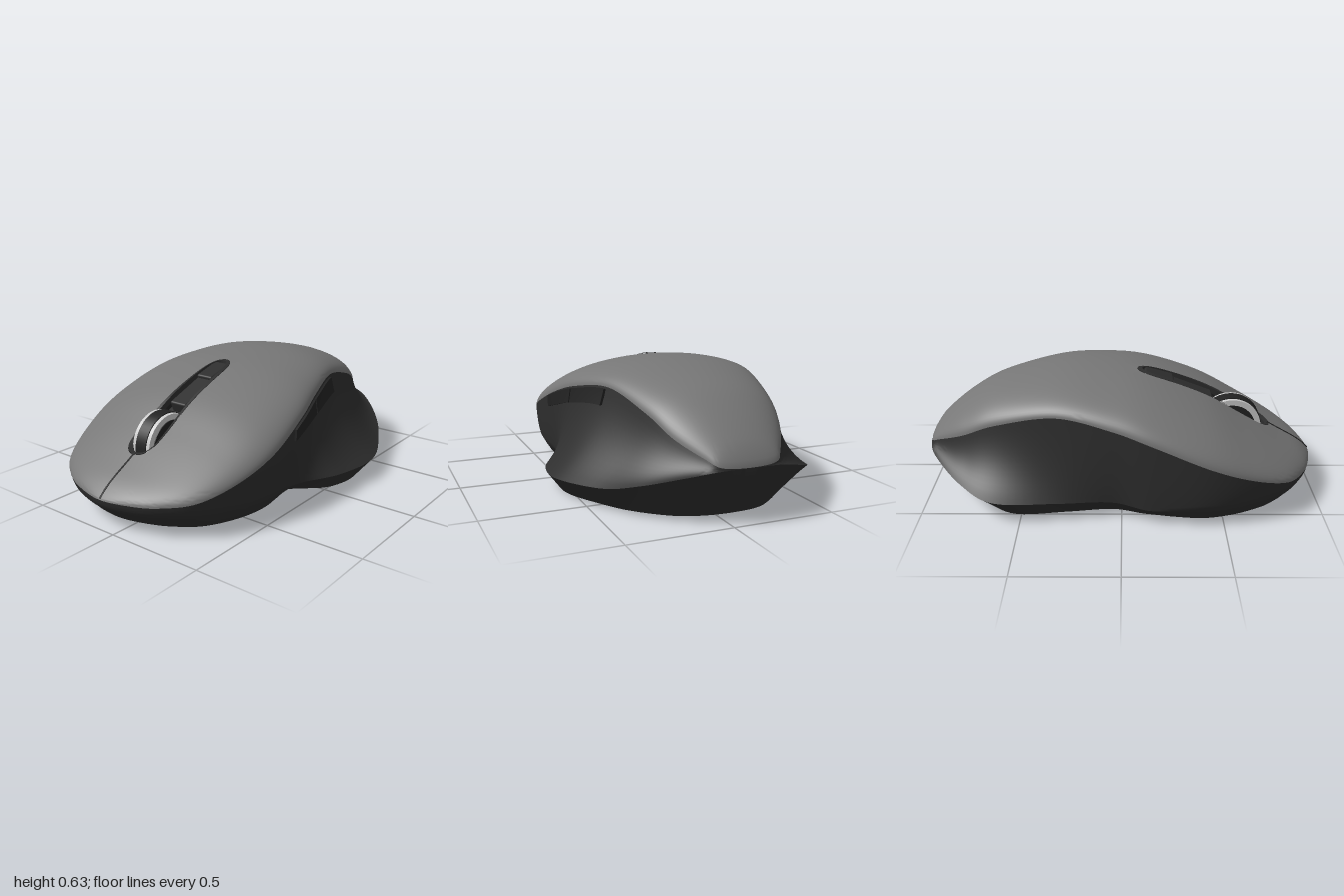
import * as THREE from 'three';
import { mergeVertices, toCreasedNormals } from 'three/addons/utils/BufferGeometryUtils.js';
import { RoundedBoxGeometry } from 'three/addons/geometries/RoundedBoxGeometry.js';

const CX = -0.075; // centre line of the mouse
const V = (x, y, z) => new THREE.Vector3(x, y, z);
const mix = THREE.MathUtils.lerp;

// Stations front to rear: z, shell half width, shell edge y, crown y, rim left, rim right, rim y
const stations = [
  [1, 0, .152, .155, 0, 0, .09],
  [.97, .16, .155, .185, .155, .155, .09],
  [.915, .29, .162, .225, .28, .28, .095],
  [.81, .425, .185, .285, .41, .41, .1],
  [.63, .515, .245, .39, .5, .5, .11],
  [.42, .555, .325, .505, .54, .535, .11],
  [.16, .53, .425, .595, .515, .52, .075],
  [-.05, .475, .485, .627, .46, .645, .09],
  [-.32, .395, .515, .625, .49, .68, .1],
  [-.62, .325, .44, .56, .52, .55, .12],
  [-.79, .27, .36, .475, .425, .435, .165],
  [-.93, .185, .295, .365, .27, .28, .222],
  [-.985, .13, .265, .295, .16, .14, .25],
  [-1, 0, .258, .262, 0, 0, .256],
];
const LAST = stations.length - 1, COUNT = LAST * 2, SUB = 8, N = COUNT * SUB;

// Closed curve: front, along the left of the page, rear, and back again
function ringCurve(point) {
  const pts = [];
  for (let k = 0; k < COUNT; k++) {
    const left = k <= LAST;
    pts.push(point(stations[left ? k : COUNT - k], left ? -1 : 1));
  }
  return new THREE.CatmullRomCurve3(pts, true, 'catmullrom', 0.5);
}
const edge = ringCurve(([z, w, y], s) => V(CX + s * w, y, z));
const crown = ringCurve(([z, , , y]) => V(CX, y, z));
const rim = ringCurve(([z, , , , l, r, y], s) => V(CX + s * (s < 0 ? l : r), y, z > 0 ? z * .965 : z));
const base = ringCurve(([z, , , , l, r], s) =>
  V(CX + s * (s < 0 ? l * .82 : r * (z < .1 ? .89 : .8)), 0, z * (z > 0 ? .8 : .83)));

const sample = (fn) => Array.from({ length: N + 1 }, (_, i) => fn((i % N) / N, i));
const edgeRing = sample((u) => edge.getPoint(u));
const crownRing = sample((u) => crown.getPoint(u));

// Height of the domed shell at any x, z
function shellY(x, z) {
  let i = 0;
  while (i < N / 2 - 1 && edgeRing[i + 1].z > z) i++;
  const a = edgeRing[i], b = edgeRing[i + 1];
  const t = THREE.MathUtils.clamp((a.z - z) / (a.z - b.z || 1), 0, 1);
  const w = CX - mix(a.x, b.x, t), y = mix(a.y, b.y, t);
  const top = mix(crownRing[i].y, crownRing[i + 1].y, t);
  const r = Math.min(1, Math.abs(x - CX) / Math.max(w, 1e-5));
  return y + (top - y) * Math.sqrt(1 - r * r);
}

// Skin over rows of points
function loft(rows, crease = 0.6) {
  const n = rows[0].length, index = [];
  for (let r = 0; r < rows.length - 1; r++) {
    for (let i = 0; i < n - 1; i++) {
      const a = r * n + i, c = a + n;
      index.push(a, a + 1, c, a + 1, c + 1, c);
    }
  }
  const geo = new THREE.BufferGeometry().setFromPoints(rows.flat());
  geo.setIndex(index);
  return toCreasedNormals(mergeVertices(geo, 1e-5), crease);
}

// Side wall: hollow curve from the shell edge (t = 0) out to the rim (t = 1)
function wall(u, t) {
  const e = edge.getPoint(u), r = rim.getPoint(u);
  const m = V(mix(e.x, r.x, .2), mix(e.y, r.y, .65), mix(e.z, r.z, .2));
  return new THREE.QuadraticBezierCurve3(e, m, r).getPoint(t);
}

// Under the rim: rounded at the front, straight bevel at the rear
function under(u, t) {
  const r = rim.getPoint(u), b = base.getPoint(u);
  const p = r.clone().lerp(b, t);
  const round = THREE.MathUtils.smoothstep(r.z, 0, .5);
  p.y -= round * r.y * Math.sin(Math.PI * t) * .3;
  return p;
}

export function createModel() {
  const model = new THREE.Group();
  const shellMat = new THREE.MeshStandardMaterial({ color: 0x777777 });
  const bodyMat = new THREE.MeshStandardMaterial({ color: 0x2e2e2e });
  const darkMat = new THREE.MeshStandardMaterial({ color: 0x222222 });
  const metalMat = new THREE.MeshStandardMaterial({ color: 0xcccccc });
  const add = (name, geo, mat, parent = model) => {
    const mesh = new THREE.Mesh(geo, mat);
    mesh.name = name;
    parent.add(mesh);
    return mesh;
  };

  // Lower body: side walls, bevel and flat underside
  const rows = [];
  for (let k = 0; k <= 12; k++) rows.push(sample((u) => wall(u, k / 12)));
  for (let k = 1; k <= 5; k++) rows.push(sample((u) => under(u, k / 5)));
  rows.push(sample(() => V(CX, 0, 0)));
  add('lowerBody', loft(rows), bodyMat);

  // Top shell, spread from the wheel slot out to the edge
  const slot = edgeRing.map((e, i) => {
    const half = mix(.062, .087, (e.z + 1) / 2) * Math.sqrt(Math.max(0, 1 - e.z ** 8));
    const x = CX + (i <= N / 2 ? -half : half), z = .43 + .35 * e.z;
    return V(x, shellY(x, z), z);
  });
  const shellRows = [];
  for (let k = 0; k <= 22; k++) {
    const t = Math.sin(Math.PI / 2 * k / 22);
    shellRows.push(edgeRing.map((e, i) => {
      const x = mix(slot[i].x, e.x, t), z = mix(slot[i].z, e.z, t);
      return V(x, k === 22 ? e.y : shellY(x, z), z);
    }));
  }
  add('topShell', loft(shellRows), shellMat);

  // Recess for the wheel
  const floor = slot.map((p) => V(p.x, p.y - .07, p.z));
  const spine = floor.map((p) => V(CX, shellY(CX, p.z) - .07, p.z));
  add('wheelSlot', loft([spine, floor, slot]), darkMat);

  // Thin bezel around the recess
  const bezel = [[1, .003], [.8, .003], [.8, -.03]].map(([k, dy]) =>
    slot.map((p) => V(mix(CX, p.x, k), p.y + dy, mix(.43, p.z, mix(.93, 1, (k - .8) * 5)))));
  add('slotBezel', loft(bezel.reverse()), bodyMat);

  // Seam between the two main buttons
  const seam = [.77, .83, .89, .94, .975, .998].map((z) => V(CX, shellY(CX, z) - .001, z));
  add('buttonSeam', new THREE.TubeGeometry(new THREE.CatmullRomCurve3(seam), 20, .005, 6), darkMat);

  // Scroll wheel: dark tyre between two metal rings
  const wheel = new THREE.Group();
  wheel.name = 'scrollWheel';
  wheel.position.set(CX, .302, .575);
  wheel.rotation.z = Math.PI / 2;
  model.add(wheel);
  add('tyre', new THREE.CylinderGeometry(.158, .158, .064, 48), darkMat, wheel);
  for (const s of [-1, 1]) {
    add('wheelRing', new THREE.CylinderGeometry(.154, .154, .02, 48), metalMat, wheel).position.y = s * .043;
    add('wheelHub', new THREE.CylinderGeometry(.125, .125, .01, 32), darkMat, wheel).position.y = s * .053;
  }

  // Panel behind the wheel and the raised button on it
  const slab = (name, z0, z1, y0, y1, width, thick) => {
    const mesh = add(name, new RoundedBoxGeometry(width, thick, Math.hypot(z1 - z0, y1 - y0), 3, .01), bodyMat);
    mesh.position.set(CX, (y0 + y1) / 2 - thick / 2, (z0 + z1) / 2);
    mesh.rotation.x = Math.atan2(y1 - y0, z0 - z1) + (z1 < z0 ? 0 : Math.PI);
    return mesh;
  };
  slab('wheelPanel', .46, .24, .475, .558, .1, .06);
  slab('modeButton', .26, .11, .568, .61, .096, .06);

  // Two thumb buttons following the side wall
  for (const [name, from, to] of [['thumbButtonFront', 5.7, 6.83], ['thumbButtonRear', 6.87, 7.92]]) {
    const nu = 24, nt = 8, patch = [];
    for (let j = 0; j <= nt; j++) {
      const row = [];
      for (let i = 0; i <= nu; i++) {
        const border = i === 0 || i === nu || j === 0 || j === nt;
        const ci = THREE.MathUtils.clamp(i, 1, nu - 1), cj = THREE.MathUtils.clamp(j, 1, nt - 1);
        const u = (COUNT - mix(to, from, (ci - 1) / (nu - 2))) / COUNT;
        const p = wall(u, mix(.02, .17, (cj - 1) / (nt - 2)));
        p.x += border ? -.01 : .012;
        row.push(p);
      }
      patch.push(row);
    }
    add(name, loft(patch), darkMat);
  }
  return model;
}
